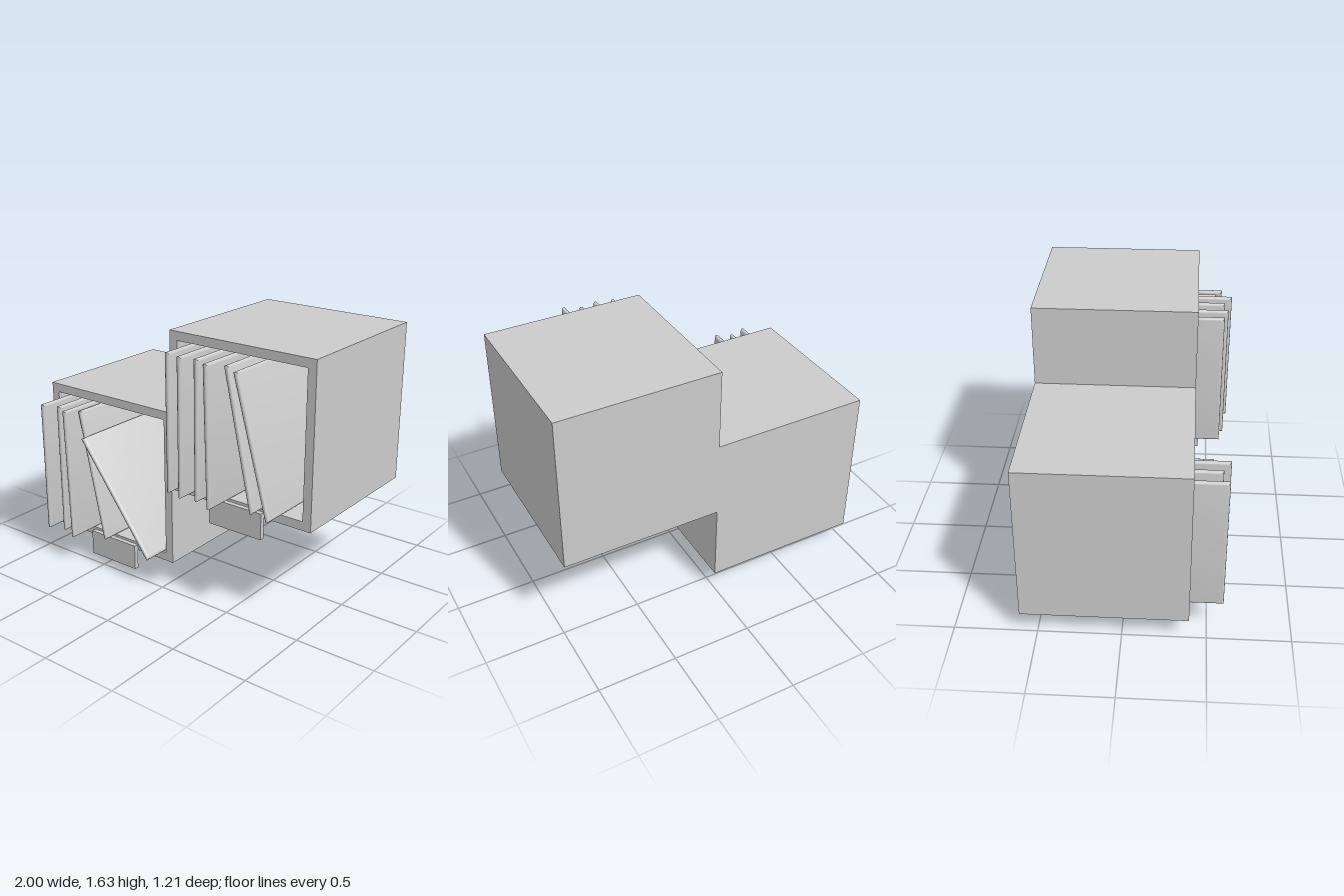
import * as THREE from 'three';
import { toCreasedNormals } from 'three/addons/utils/BufferGeometryUtils.js';

const BOX = 1, WALL = 0.055, BACK = 0.05, FRONT_Z = 0.395;
const SLEEVE = 0.43, EDGE = 0.016, BULGE = 0.05; // half size, half edge, half centre thickness

const material = new THREE.MeshStandardMaterial({ color: 0xcccccc });

function addMesh(parent, name, geometry, x, y, z) {
  const mesh = new THREE.Mesh(geometry, material);
  mesh.name = name;
  mesh.position.set(x, y, z);
  parent.add(mesh);
  return mesh;
}

// Square frame with a square opening, extruded from back to front
function frameGeometry() {
  const square = (h) => [[-h, -h], [h, -h], [h, h], [-h, h]].map(([x, y]) => new THREE.Vector2(x, y));
  const shape = new THREE.Shape(square(BOX / 2));
  shape.holes.push(new THREE.Path(square(BOX / 2 - WALL)));
  return new THREE.ExtrudeGeometry(shape, { depth: BOX - BACK, bevelEnabled: false });
}

// Square sleeve: thickest in the middle, with rounded edges (a four-sided lathe)
function sleeveGeometry() {
  const points = [new THREE.Vector2(0, -BULGE)];
  for (let i = 0; i <= 8; i++) {
    const a = -Math.PI / 2 + (Math.PI * i) / 8;
    const half = SLEEVE - EDGE + EDGE * Math.cos(a);
    points.push(new THREE.Vector2(half * Math.SQRT2, EDGE * Math.sin(a)));
  }
  points.push(new THREE.Vector2(0, BULGE));
  const geometry = new THREE.LatheGeometry(points, 4, Math.PI / 4);
  geometry.rotateZ(Math.PI / 2);
  return toCreasedNormals(geometry, 0.6);
}

// Sleeves as [top x, top y, bottom x, bottom y, front z], relative to the cube centre
const cubes = [
  {
    name: 'lowerCube', x: -0.5, y: 0.627, plateX: 0.018,
    sleeves: [
      [-0.398, 0.4, -0.398, -0.42, 0.595],
      [-0.29, 0.4, -0.29, -0.42, 0.56],
      [-0.195, 0.4, -0.17, -0.42, 0.605],
      [-0.155, 0.385, 0.02, -0.42, 0.505],
      [-0.077, 0.235, 0.42, -0.42, 0.56],
    ],
  },
  {
    name: 'upperCube', x: 0.5, y: 1.135, plateX: -0.002,
    sleeves: [
      [-0.393, 0.4, -0.393, -0.42, 0.555],
      [-0.287, 0.4, -0.287, -0.42, 0.58],
      [-0.182, 0.4, -0.182, -0.42, 0.56],
      [-0.083, 0.4, -0.06, -0.42, 0.605],
      [-0.01, 0.38, 0.165, -0.42, 0.505],
      [0.082, 0.372, 0.302, -0.42, 0.545],
    ],
  },
];

export function createModel() {
  const model = new THREE.Group();
  model.name = 'recordShelf';
  const frame = frameGeometry();
  const back = new THREE.BoxGeometry(BOX, BOX, BACK);
  const plate = new THREE.BoxGeometry(0.375, 0.165, 0.03);
  const sleeve = sleeveGeometry();

  for (const cube of cubes) {
    const group = new THREE.Group();
    group.name = cube.name;
    group.position.set(cube.x, cube.y, 0);
    model.add(group);

    // Open-fronted cabinet
    addMesh(group, 'cabinetFrame', frame, 0, 0, FRONT_Z - BOX + BACK);
    addMesh(group, 'backPanel', back, 0, 0, FRONT_Z - BOX + BACK / 2);

    // Label plate hanging from the bottom rail
    addMesh(group, 'labelPlate', plate, cube.plateX, -0.5445, FRONT_Z + 0.015);

    // Upright and leaning sleeves
    cube.sleeves.forEach(([tx, ty, bx, by, front]) => {
      const mesh = addMesh(group, 'sleeve', sleeve, (tx + bx) / 2, (ty + by) / 2, front - SLEEVE);
      mesh.rotation.z = Math.atan2(bx - tx, ty - by);
    });
  }
  return model;
}
